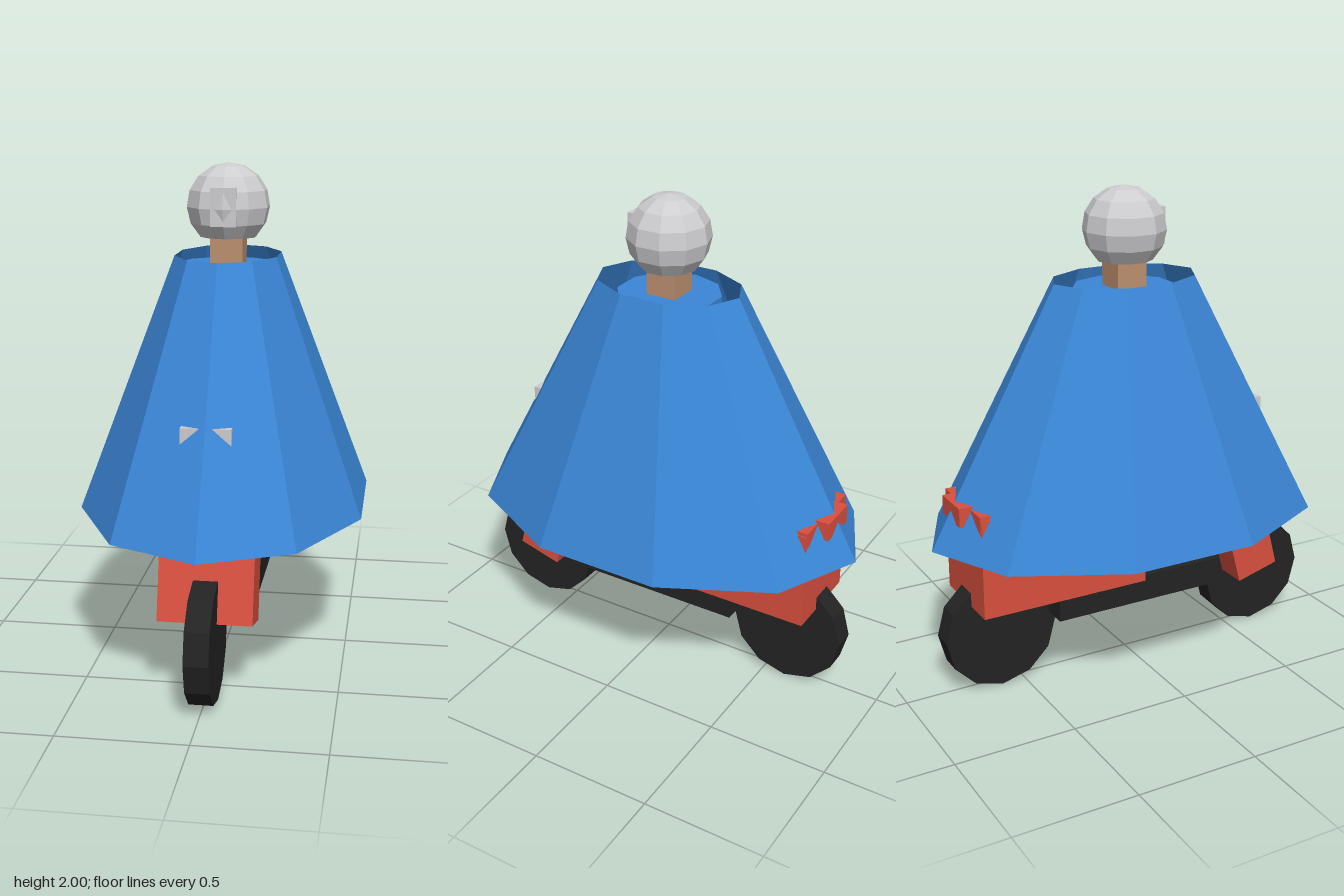
import * as THREE from 'three';

const material = (name, color, side = THREE.FrontSide) => {
  const m = new THREE.MeshStandardMaterial({ color, side, flatShading: true });
  m.name = name;
  return m;
};

export function createModel() {
  const model = new THREE.Group();
  model.name = 'riderOnScooter';

  const blue = material('cloakBlue', 0x3a86d6, THREE.DoubleSide);
  const red = material('bodyRed', 0xd9503f);
  const black = material('rubberBlack', 0x232323);
  const grey = material('helmetGrey', 0xcdcdd0);
  const skin = material('skin', 0xbd9070);

  const add = (name, geometry, mat, x = 0, y = 0, z = 0) => {
    const mesh = new THREE.Mesh(geometry, mat);
    mesh.name = name;
    mesh.position.set(x, y, z);
    model.add(mesh);
    return mesh;
  };
  // Box given by its limits on each axis
  const box = (name, mat, [x0, x1], [y0, y1], [z0, z1]) =>
    add(name, new THREE.BoxGeometry(x1 - x0, y1 - y0, z1 - z0), mat,
      (x0 + x1) / 2, (y0 + y1) / 2, (z0 + z1) / 2);

  // Wheels
  for (const [name, z] of [['frontWheel', 0.627], ['rearWheel', -0.597]]) {
    const wheel = new THREE.CylinderGeometry(0.24, 0.24, 0.095, 12).rotateZ(Math.PI / 2);
    add(name, wheel, black, 0, 0.243, z);
  }

  // Scooter body
  box('floorboard', black, [-0.153, 0.153], [0.28, 0.395], [-0.385, 0.385]);
  box('rearBody', red, [-0.18, 0.18], [0.385, 0.8], [-0.725, 0]);
  const shield = add('frontShield', new THREE.BoxGeometry(0.366, 0.85, 0.195), red, 0, 0.71, 0.455);
  shield.rotation.x = -Math.PI / 12;

  // Rider's torso inside the open cloak
  const torso = new THREE.CylinderGeometry(0.21, 0.21, 0.8, 10).rotateY(Math.PI / 10);
  add('torso', torso, blue, 0, 1.2, 0);
  const cloak = new THREE.CylinderGeometry(0.31, 0.862, 1.005, 10, 1, true).scale(0.688, 1, 1);
  add('cloak', cloak, blue, 0, 1.1375, 0);

  // Neck and round helmet, cut flat underneath
  box('neck', skin, [-0.065, 0.065], [1.58, 1.8], [-0.064, 0.064]);
  const profile = [new THREE.Vector2(0, -0.124)];
  for (let i = 6; i >= 0; i--) {
    const a = (i / 6) * 0.764 * Math.PI;
    profile.push(new THREE.Vector2(0.168 * Math.sin(a), 0.168 * Math.cos(a)));
  }
  add('helmet', new THREE.LatheGeometry(profile, 10), grey, 0, 1.832, 0);
  box('helmetFront', grey, [-0.05, 0.05], [1.76, 1.91], [0.05, 0.157]);

  // Lamps poking through the cloak
  box('tailLight', red, [-0.085, 0.085], [0.75, 0.828], [-0.775, -0.69]);
  for (const [side, s] of [['left', 1], ['right', -1]]) {
    const span = (a, b) => (s > 0 ? [a, b] : [-b, -a]);
    box(side + 'TailLight', red, span(0.08, 0.175), [0.75, 0.815], [-0.727, -0.65]);
    box(side + 'Headlight', grey, span(0.02, 0.096), [1.005, 1.07], [0.54, 0.612]);
  }

  return model;
}
